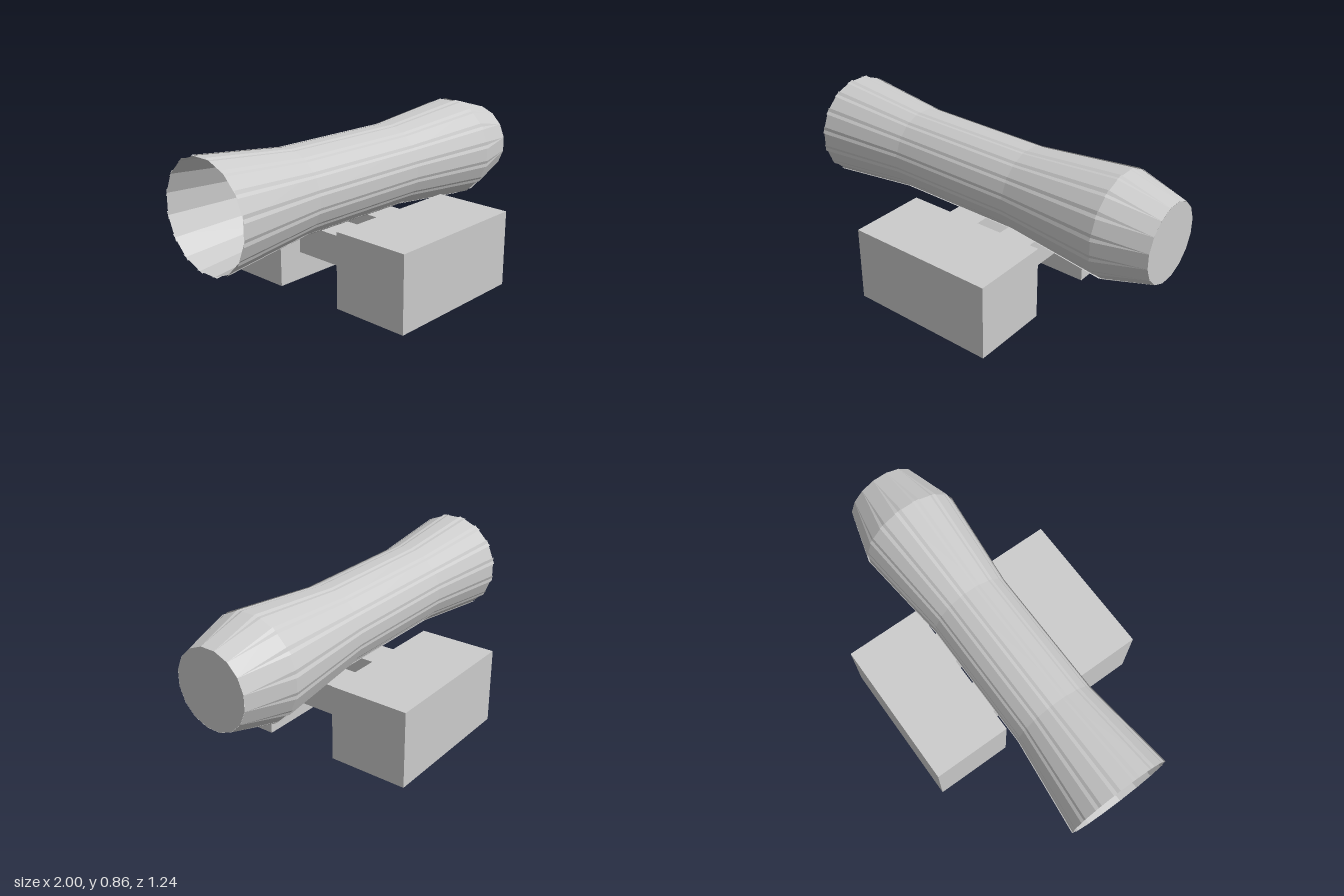
import * as THREE from 'three';

const STAVES = 16;
// Barrel stations along x: position, centre height, radius to stave face, stave half width / radius
const STATIONS = [
  [-1, 0.584, 0.267, 0.27],
  [-0.5, 0.58, 0.213, 0.27],
  [0.2, 0.573, 0.212, 0.27],
  [0.74, 0.568, 0.265, 0.27],
  [1, 0.565, 0.198, 0.2],
];

const grey = () => new THREE.MeshStandardMaterial({ color: 0xcccccc, flatShading: true, side: THREE.DoubleSide });

function box(name, [x0, x1], [y0, y1], [z0, z1]) {
  const mesh = new THREE.Mesh(new THREE.BoxGeometry(x1 - x0, y1 - y0, z1 - z0), grey());
  mesh.position.set((x0 + x1) / 2, (y0 + y1) / 2, (z0 + z1) / 2);
  mesh.name = name;
  return mesh;
}

// One flat stave, bent through the stations and slightly wider than its share of the ring
function stave(angle) {
  const geo = new THREE.PlaneGeometry(1, 1, 1, STATIONS.length - 1);
  const pos = geo.attributes.position;
  const c = Math.cos(angle), s = Math.sin(angle);
  STATIONS.forEach(([x, cy, r, k], i) => {
    [-1, 1].forEach((side, j) => {
      const w = side * r * k;
      pos.setXYZ(i * 2 + j, x, cy + r * c - w * s, r * s + w * c);
    });
  });
  // Turn the faces outward
  const index = Array.from(geo.index.array);
  for (let i = 0; i < index.length; i += 3) [index[i], index[i + 1]] = [index[i + 1], index[i]];
  geo.setIndex(index);
  geo.computeVertexNormals();
  const v = i => new THREE.Vector3().fromBufferAttribute(pos, index[i]);
  const n = v(1).sub(v(0)).cross(v(2).sub(v(0)));
  if (n.y * c + n.z * s < 0) {
    geo.setIndex(index.reverse());
    geo.computeVertexNormals();
  }
  return geo;
}

export function createModel() {
  const model = new THREE.Group();
  model.name = 'barrelOnStand';

  // Barrel of overlapping staves, open at the left-hand end
  const barrel = new THREE.Group();
  barrel.name = 'barrel';
  for (let i = 0; i < STAVES; i++) {
    const mesh = new THREE.Mesh(stave((i / STAVES) * Math.PI * 2), grey());
    mesh.name = 'stave';
    barrel.add(mesh);
  }

  // Flat end cap
  const cap = new THREE.Mesh(new THREE.CircleGeometry(0.201, STAVES, Math.PI / STAVES), grey());
  cap.rotation.y = Math.PI / 2;
  cap.position.set(1, 0.565, 0);
  cap.name = 'endCap';
  barrel.add(cap);
  model.add(barrel);

  // Side blocks and the two bars joining them
  model.add(
    box('frontBlock', [-0.385, 0.415], [0, 0.4], [0.2, 0.62]),
    box('backBlock', [-0.385, 0.415], [0, 0.4], [-0.62, -0.2]),
    box('leftCrossBar', [0.09, 0.28], [0.15, 0.31], [-0.2, 0.193]),
    box('rightCrossBar', [-0.25, -0.06], [0.15, 0.31], [-0.2, 0.193]),
  );
  return model;
}
